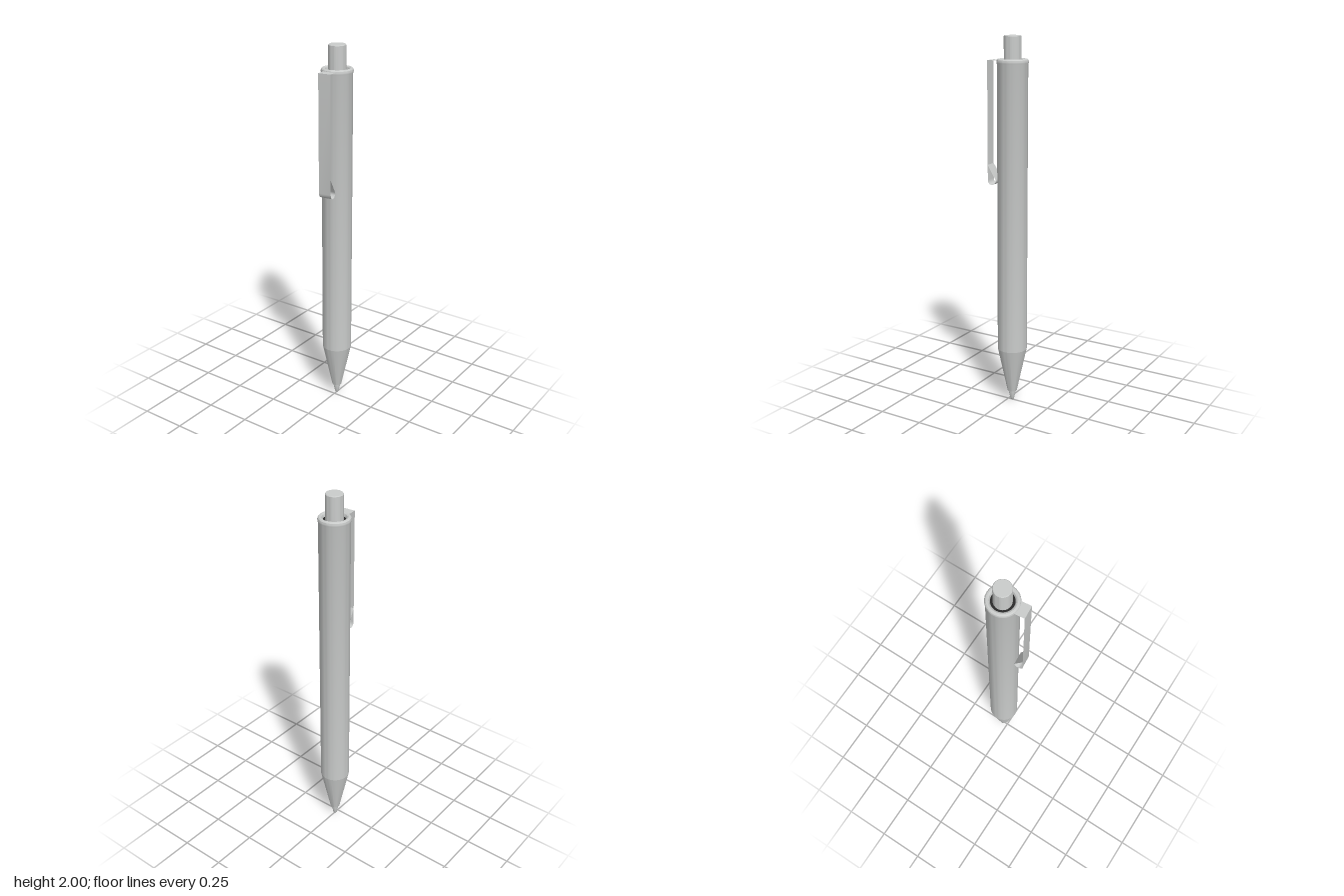
import * as THREE from 'three';
import { toCreasedNormals } from 'three/addons/utils/BufferGeometryUtils.js';

const silver = new THREE.MeshStandardMaterial({ color: 0xcacccb, side: THREE.DoubleSide });
silver.name = 'silver';
const dark = new THREE.MeshStandardMaterial({ color: 0x2a2a2a });
dark.name = 'dark recess';

// Turned part from [radius, y] pairs listed bottom to top
function turned(name, profile, material = silver) {
  const geometry = new THREE.LatheGeometry(profile.map(([r, y]) => new THREE.Vector2(r, y)), 64);
  const mesh = new THREE.Mesh(toCreasedNormals(geometry, 0.5), material);
  mesh.name = name;
  return mesh;
}

// Thin sheet bent along [z, y] points, extended across x
function bentSheet(name, path, width) {
  const geometry = new THREE.PlaneGeometry(width, 1, 1, path.length - 1);
  const position = geometry.attributes.position;
  path.forEach(([z, y], i) => {
    for (let k = 0; k < 2; k++) {
      position.setY(i * 2 + k, y);
      position.setZ(i * 2 + k, z);
    }
  });
  const mesh = new THREE.Mesh(toCreasedNormals(geometry, 0.7), silver);
  mesh.name = name;
  return mesh;
}

export function createModel() {
  const pen = new THREE.Group();
  pen.name = 'pen';

  // Writing point with a rounded end
  pen.add(turned('tip', [
    [0, 0], [0.006, 0.001], [0.01, 0.006], [0.012, 0.014], [0.02, 0.052], [0.02, 0.06],
  ]));

  // Tapered nose
  pen.add(turned('nose', [[0.018, 0.058], [0.026, 0.058], [0.08, 0.31]]));

  // Barrel with a slightly flared, rounded rim and an open top
  pen.add(turned('barrel', [
    [0.08, 0.31], [0.08, 1.855], [0.0825, 1.862], [0.083, 1.87], [0.081, 1.877],
    [0.076, 1.882], [0.069, 1.883], [0.062, 1.879], [0.058, 1.872], [0.056, 1.86], [0.056, 1.84],
  ]));

  // Dark gap around the push button
  const gap = new THREE.Mesh(new THREE.RingGeometry(0.04, 0.0575, 64), dark);
  gap.name = 'buttonGap';
  gap.rotation.x = -Math.PI / 2;
  gap.position.y = 1.865;
  pen.add(gap);

  // Push button
  pen.add(turned('pushButton', [[0.045, 1.84], [0.045, 1.996], [0.042, 2], [0, 2]]));

  // Clip: top bridge, long front, curled foot and inner return
  const clip = bentSheet('clip', [
    [0.07, 1.874], [0.128, 1.874], [0.128, 1.25], [0.126, 1.238], [0.12, 1.229], [0.111, 1.224],
    [0.1, 1.224], [0.09, 1.229], [0.083, 1.238], [0.081, 1.246], [0.084, 1.255], [0.128, 1.33],
  ], 0.07);
  clip.rotation.y = 0.093;
  pen.add(clip);

  // The barrel sits behind the centre because the clip projects forward
  pen.position.z = -0.025;
  const model = new THREE.Group();
  model.add(pen);
  return model;
}
